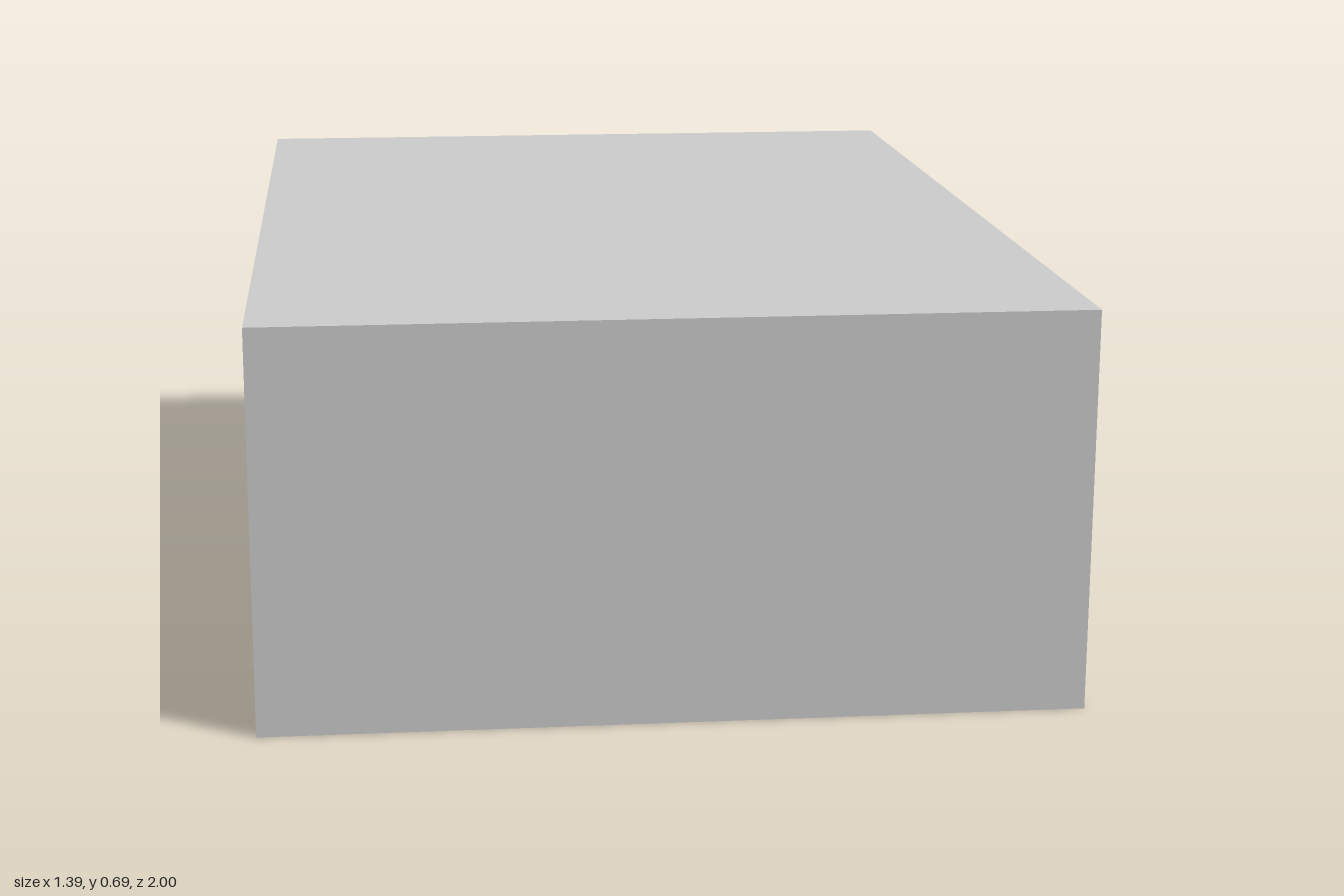
import * as THREE from 'three';

const W = 1.39, H = 0.69, D = 2;

export function createModel() {
  const room = new THREE.Group();
  room.name = 'room';

  const plaster = new THREE.MeshStandardMaterial({ color: 0xcccccc, side: THREE.DoubleSide });
  plaster.name = 'grey plaster';
  const carpet = new THREE.MeshStandardMaterial({ color: 0x2c5082, side: THREE.DoubleSide });
  carpet.name = 'blue carpet';

  const panel = (name, geometry, material, position, rotation = [0, 0, 0]) => {
    const mesh = new THREE.Mesh(geometry, material);
    mesh.name = name;
    mesh.position.set(...position);
    mesh.rotation.set(...rotation);
    room.add(mesh);
  };

  // Floor and ceiling
  const slab = new THREE.PlaneGeometry(W, D);
  panel('floor', slab, carpet, [0, 0, 0], [-Math.PI / 2, 0, 0]);
  panel('ceiling', slab, plaster, [0, H, 0], [-Math.PI / 2, 0, 0]);

  // Front and back walls
  const endWall = new THREE.PlaneGeometry(W, H);
  panel('frontWall', endWall, plaster, [0, H / 2, D / 2]);
  panel('backWall', endWall, plaster, [0, H / 2, -D / 2], [0, Math.PI, 0]);

  // Closed side wall
  panel('rightWall', new THREE.PlaneGeometry(D, H), plaster, [-W / 2, H / 2, 0], [0, -Math.PI / 2, 0]);

  // Side wall notched by the doorway, which reaches the floor
  const outline = [
    [-D / 2, 0], [0.2, 0], [0.2, 0.51], [0.6, 0.51], [0.6, 0],
    [D / 2, 0], [D / 2, H], [-D / 2, H],
  ];
  const doorWall = new THREE.Shape(outline.map(([x, y]) => new THREE.Vector2(x, y)));
  panel('doorWall', new THREE.ShapeGeometry(doorWall), plaster, [W / 2, 0, 0], [0, Math.PI / 2, 0]);

  return room;
}
